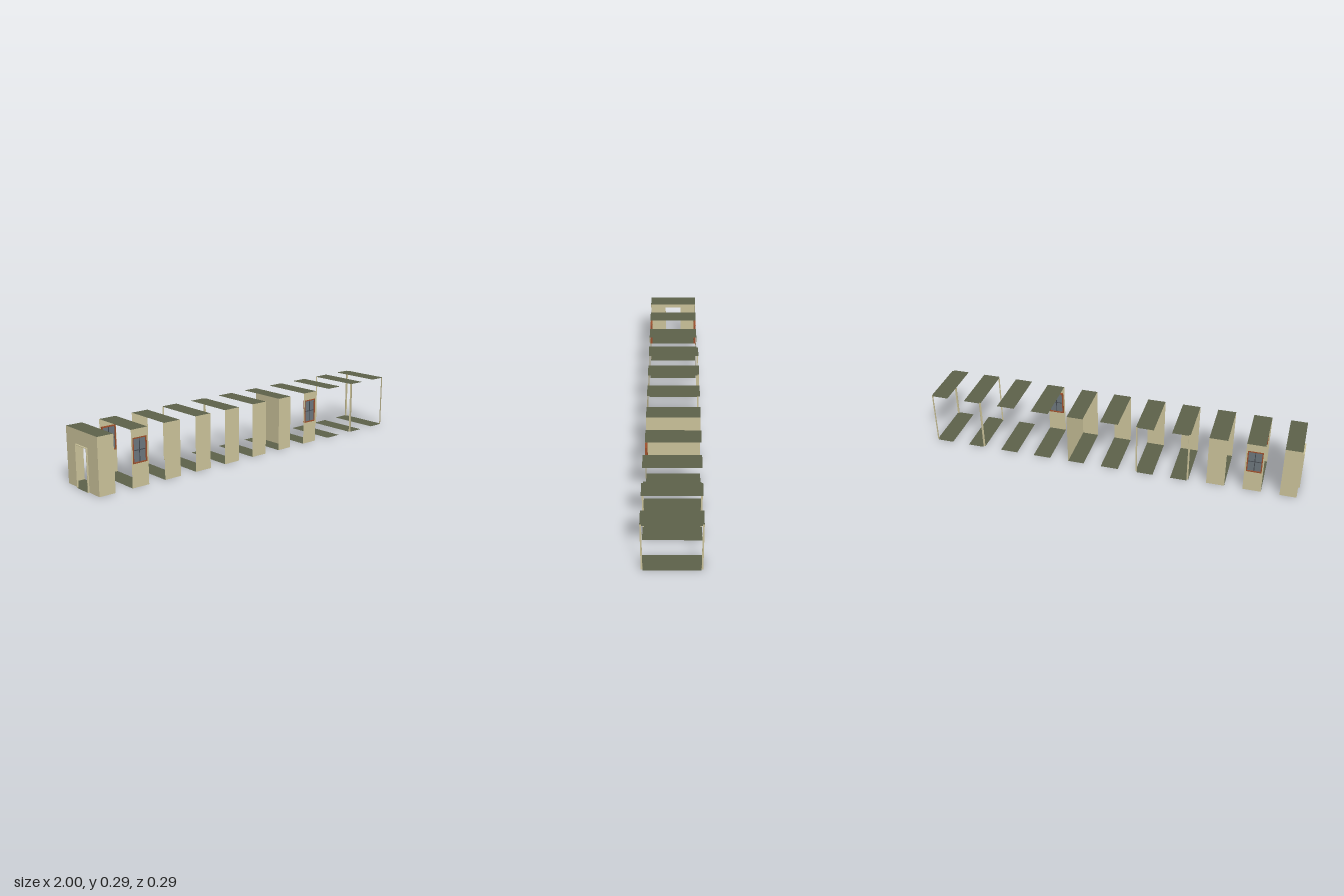
import * as THREE from 'three';

const mat = (name, color) => {
  const m = new THREE.MeshStandardMaterial({ color, side: THREE.DoubleSide });
  m.name = name;
  return m;
};

const PITCH = 4 / 21, W = 2 / 21, H = 0.286, OPEN = 0.143, T = 0.008;
const CLOSED = OPEN - T;

export function createModel() {
  const model = new THREE.Group();
  const wallMat = mat('tan wall', 0xc9c199);
  const floorMat = mat('olive floor', 0x5c6049);
  const frameMat = mat('brown frame', 0x9c4f2c);
  const glassMat = mat('slate glass', 0x6b757c);
  const barMat = mat('dark bars', 0x454a50);

  const add = (parent, name, geo, material, x = 0, y = 0, z = 0) => {
    const m = new THREE.Mesh(geo, material);
    m.name = name;
    m.position.set(x, y, z);
    parent.add(m);
    return m;
  };
  const poly = pts => new THREE.Shape(pts.map(p => new THREE.Vector2(...p)));
  const rect = (x0, y0, x1, y1) => [[x0, y0], [x1, y0], [x1, y1], [x0, y1]];

  // Window in a side wall; local +z points out of the corridor
  const WW = 0.08, Y0 = 0.118, Y1 = 0.245, B = 0.006;
  function addWindow(parent) {
    const ring = poly(rect(-WW / 2, Y0, WW / 2, Y1));
    ring.holes.push(poly(rect(-WW / 2 + B, Y0 + B, WW / 2 - B, Y1 - B)));
    add(parent, 'windowFrame', new THREE.ExtrudeGeometry(ring, { depth: 0.0105, bevelEnabled: false }), frameMat, 0, 0, -0.0095);
    const w = WW - 2 * B, h = Y1 - Y0 - 2 * B, y = (Y0 + Y1) / 2;
    add(parent, 'glass', new THREE.BoxGeometry(w, h, 0.002), glassMat, 0, y, -0.004);
    add(parent, 'uprightBar', new THREE.BoxGeometry(0.004, h, 0.005), barMat, 0, y, -0.004);
    add(parent, 'crossBar', new THREE.BoxGeometry(w, 0.004, 0.005), barMat, 0, y, -0.004);
  }

  // Side wall from x0 to x1, side is +1 front or -1 back
  function addSideWall(parent, x0, x1, side, hasWindow) {
    const g = new THREE.Group();
    g.name = side > 0 ? 'frontWall' : 'backWall';
    g.position.z = side * CLOSED;
    if (side < 0) {
      g.rotation.y = Math.PI;
      [x0, x1] = [-x1, -x0];
    }
    const s = poly(rect(x0, 0, x1, H));
    if (hasWindow) s.holes.push(poly(rect(-WW / 2, Y0, WW / 2, Y1)));
    add(g, 'wallPanel', new THREE.ShapeGeometry(s), wallMat);
    if (hasWindow) addWindow(g);
    parent.add(g);
  }

  // Inner corner made of two narrow strips
  function addCorner(parent, sx, sz) {
    add(parent, 'cornerStrip', new THREE.PlaneGeometry(T, H), wallMat, sx * (W / 2 - T / 2), H / 2, sz * CLOSED);
    add(parent, 'cornerReturn', new THREE.PlaneGeometry(T, H), wallMat, sx * (W / 2 - T), H / 2, sz * (CLOSED + T / 2)).rotation.y = Math.PI / 2;
  }

  // Floor outline with a small notch at each inner corner
  function slab(x0, x1, zb, zf, corners) {
    const pts = [];
    [[-1, -1], [1, -1], [1, 1], [-1, 1]].forEach(([sx, sz], i) => {
      const x = sx < 0 ? x0 : x1, z = sz < 0 ? zb : zf;
      if (corners.some(c => c[0] === sx && c[1] === sz)) {
        const a = [x - sx * T, z], b = [x, z - sz * T], m = [x - sx * T, z - sz * T];
        pts.push(...(i % 2 ? [a, m, b] : [b, m, a]));
      } else pts.push([x, z]);
    });
    return new THREE.ShapeGeometry(poly(pts)).rotateX(Math.PI / 2);
  }

  // Corridor pieces from the model's right to its left
  const pieces = [
    { name: 'doorPiece', front: 1, back: 1, end: -1, door: true },
    { name: 'twinWindowPiece', front: 2, back: 2 },
    { name: 'straightPiece', front: 1, back: 1 },
    { name: 'rightCornerPiece', front: 1, corners: [[-1, -1]] },
    { name: 'leftCornerPiece', front: 1, corners: [[1, -1]] },
    { name: 'sidePiece', front: 1 },
    { name: 'endPiece', front: 1, end: 1 },
    { name: 'windowSidePiece', front: 2 },
    { name: 'openPiece' },
    { name: 'openRightCornerPiece', corners: [[-1, -1], [-1, 1]] },
    { name: 'openLeftCornerPiece', corners: [[1, -1], [1, 1]] },
  ];

  pieces.forEach(({ name, front = 0, back = 0, end = 0, door, corners = [] }, i) => {
    const g = new THREE.Group();
    g.name = name;
    g.position.x = (i - 5) * PITCH;
    model.add(g);
    const x0 = -W / 2 + (end < 0 ? T : 0), x1 = W / 2 - (end > 0 ? T : 0);
    const zf = front ? CLOSED : OPEN, zb = back ? -CLOSED : -OPEN;
    const geo = slab(x0, x1, zb, zf, corners);
    add(g, 'floor', geo, floorMat);
    add(g, 'ceiling', geo, floorMat, 0, H, 0);
    if (front) addSideWall(g, x0, x1, 1, front === 2);
    if (back) addSideWall(g, x0, x1, -1, back === 2);
    corners.forEach(c => addCorner(g, ...c));

    if (end) {
      // End wall, with a doorway where needed
      const D = 0.05, DH = 0.215, J = 0.003;
      const outline = door
        ? [[-zf, 0], [-D, 0], [-D, DH], [D, DH], [D, 0], [-zb, 0], [-zb, H], [-zf, H]]
        : rect(-zf, 0, -zb, H);
      const x = end < 0 ? x0 : x1;
      add(g, 'endWall', new THREE.ShapeGeometry(poly(outline)).rotateY(Math.PI / 2), wallMat, x);
      if (door) {
        const jx = x - T / 2;
        for (const s of [-1, 1]) add(g, 'doorJamb', new THREE.BoxGeometry(T, DH, J), wallMat, jx, DH / 2, s * (D - J / 2));
        add(g, 'doorLintel', new THREE.BoxGeometry(T, J, 2 * D), wallMat, jx, DH - J / 2, 0);
        add(g, 'threshold', new THREE.PlaneGeometry(T, 2 * D).rotateX(-Math.PI / 2), floorMat, jx, 0, 0);
      }
    }
  });
  return model;
}
